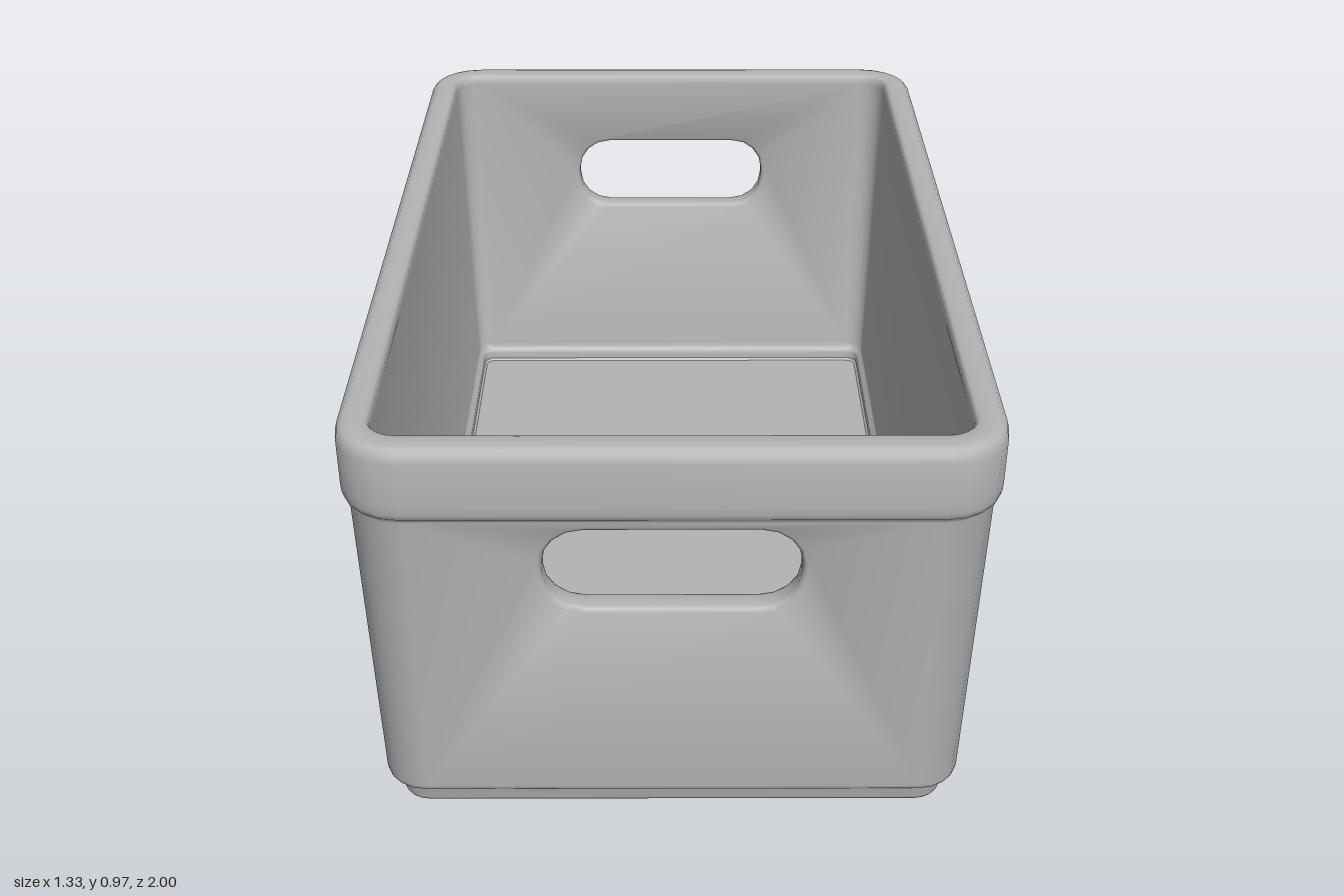
import * as THREE from 'three';
import { mergeGeometries, toCreasedNormals } from 'three/addons/utils/BufferGeometryUtils.js';

const HX = 0.667, HZ = 1, R = 0.13, N = 5; // half width, half depth, corner radius, corner steps

// Profiles as [inset from the widest outline, height]
const foot = [[0.076, 0], [0.069, 0.004], [0.066, 0.012], [0.065, 0.042], [0.06, 0.053],
  [0.042, 0.059], [0.035, 0.066], [0.033, 0.076]];
const rim = [[0.015, 0.793], [0.013, 0.8], [0.004, 0.808], [0.001, 0.82], [0, 0.84], [0, 0.94],
  [0.004, 0.957], [0.013, 0.967], [0.025, 0.97], [0.055, 0.97], [0.064, 0.967], [0.069, 0.958], [0.07, 0.945]];
const floor = [[0.085, 0.11], [0.088, 0.1], [0.097, 0.094], [0.1, 0.086], [0.1, 0.066], [0.106, 0.06]];

// Points of a rounded rectangle in a plane, counter-clockwise in (u, v)
function roundedRect(hu, hv, r, steps) {
  const pts = [];
  [[1, 1], [-1, 1], [-1, -1], [1, -1]].forEach(([su, sv], k) => {
    for (let i = 0; i <= steps; i++) {
      const a = (k + i / steps) * Math.PI / 2;
      pts.push([su * (hu - r) + r * Math.cos(a), sv * (hv - r) + r * Math.sin(a)]);
    }
  });
  return pts;
}

const ring = ([d, y]) => roundedRect(HX - d, HZ - d, R - d, N).map(([x, z]) => [x, y, z]);
const centre = y => ring([0, 0]).map(() => [0, y, 0]);

// Skin between successive closed rings; skip(i, j) leaves a gap
function loft(rings, skip = () => false) {
  const pos = [];
  for (let i = 0; i < rings.length - 1; i++) {
    const n = rings[i].length;
    for (let j = 0; j < n; j++) {
      if (skip(i, j)) continue;
      const k = (j + 1) % n;
      const a = rings[i][j], b = rings[i][k], c = rings[i + 1][k], d = rings[i + 1][j];
      const same = (p, q) => p.every((v, m) => v === q[m]);
      if (!same(c, d)) pos.push(...a, ...d, ...c);
      if (!same(a, b)) pos.push(...a, ...c, ...b);
    }
  }
  return new THREE.BufferGeometry().setAttribute('position', new THREE.Float32BufferAttribute(pos, 3));
}

// Depth of a sloping end wall at height y
const wallZ = ([d0, y0], [d1, y1]) => y => HZ - d0 - (d1 - d0) * (y - y0) / (y1 - y0);

const outerLow = foot[foot.length - 1], outerHigh = rim[0];
const innerHigh = rim[rim.length - 1], innerLow = floor[0];
const outerZ = wallZ(outerLow, outerHigh), innerZ = wallZ(innerLow, innerHigh);

// Handle opening outline
const slot = inset => roundedRect(0.272 - inset, 0.108 - inset, 0.095 - inset, 4)
  .map(([x, y]) => [x, y + 0.673]);

// Flat end panel with the handle opening cut out, laid on the sloping wall
function endPanel(y0, y1, depth, inward) {
  const w = HX - R;
  const shape = new THREE.Shape([[-w, y0], [w, y0], [w, y1], [-w, y1]].map(p => new THREE.Vector2(...p)));
  shape.holes.push(new THREE.Path(slot(0).map(p => new THREE.Vector2(...p))));
  const flat = new THREE.ShapeGeometry(shape).toNonIndexed();
  const p = flat.getAttribute('position');
  for (let i = 0; i < p.count; i++) p.setXYZ(i, p.getX(i) * (inward ? -1 : 1), p.getY(i), depth(p.getY(i)));
  return new THREE.BufferGeometry().setAttribute('position', p);
}

// One end: outer panel, inner panel and the bevelled handle edge between them
function handleEnd() {
  const edge = (inset, depth, dz) => slot(inset).map(([x, y]) => [x, y, depth(y) + dz]);
  return mergeGeometries([
    endPanel(outerLow[1], outerHigh[1], outerZ, false),
    endPanel(innerLow[1], innerHigh[1], innerZ, true),
    loft([edge(0, innerZ, 0), edge(0.007, innerZ, 0.004), edge(0.01, innerZ, 0.012),
      edge(0.01, outerZ, -0.012), edge(0.007, outerZ, -0.004), edge(0, outerZ, 0)]),
  ]);
}

export function createModel() {
  const grey = new THREE.MeshStandardMaterial({ color: 0xb4b4b4 });
  grey.name = 'grey plastic';

  // Continuous shell: underside, foot, walls, rim, inner walls and floor
  const rings = [centre(0), ...[...foot, ...rim, ...floor].map(ring), centre(0.06)];
  const outerBand = foot.length, innerBand = foot.length + rim.length;
  const shell = loft(rings, (i, j) =>
    (i === outerBand || i === innerBand) && (j === N || j === 3 * N + 2));

  const front = handleEnd();
  const back = front.clone().rotateY(Math.PI);
  const bin = new THREE.Mesh(toCreasedNormals(mergeGeometries([shell, front, back]), 0.75), grey);
  bin.name = 'storageBin';

  const model = new THREE.Group();
  model.name = 'storageBinWithHandles';
  model.add(bin);
  return model;
}
